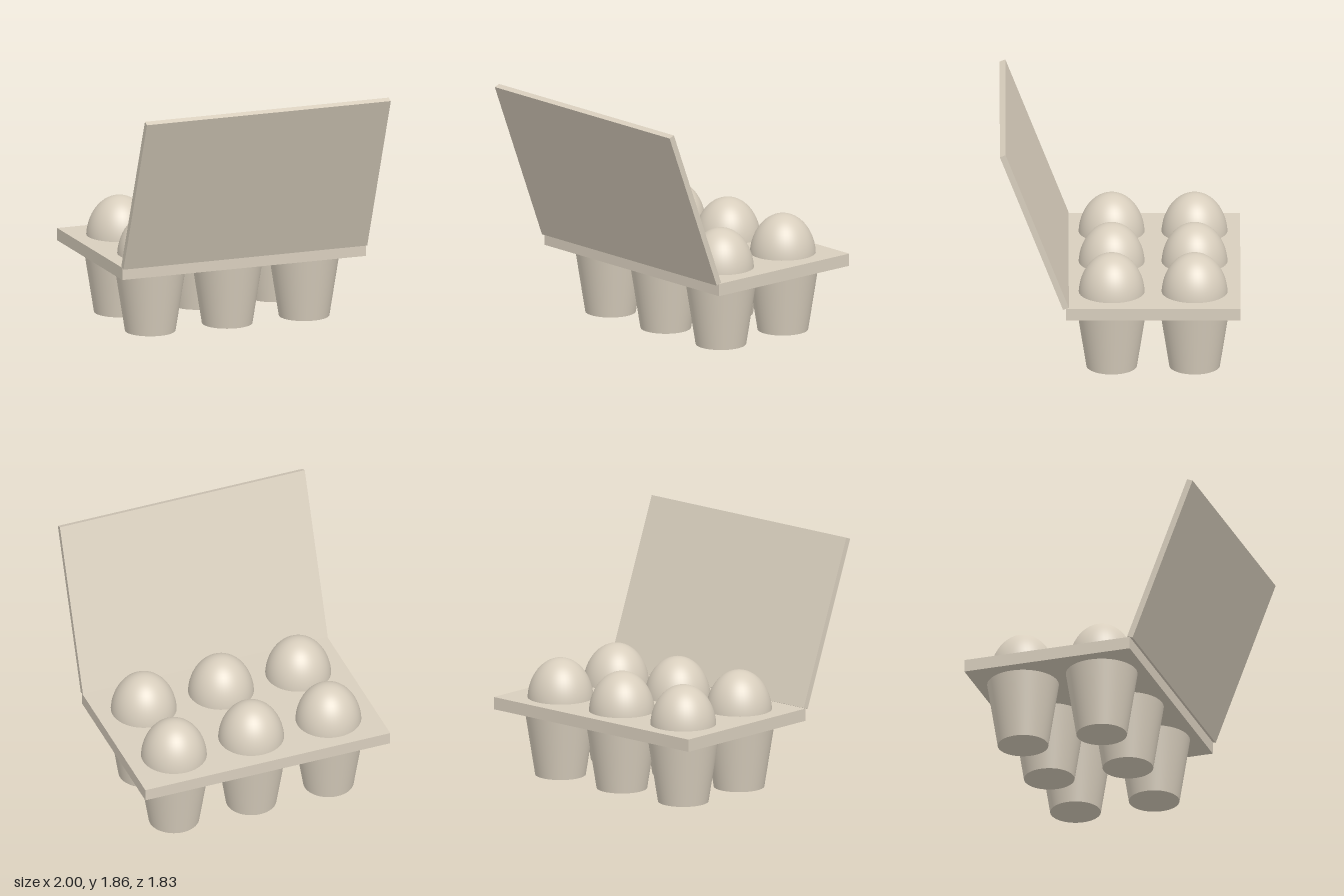
import * as THREE from 'three';

export function createModel() {
  const carton = new THREE.Group();
  carton.name = 'eggCarton';
  const cardboard = new THREE.MeshStandardMaterial({ color: 0xd8cebd });
  cardboard.name = 'cardboard beige';

  const add = (name, geometry, x, y, z) => {
    const mesh = new THREE.Mesh(geometry, cardboard);
    mesh.name = name;
    mesh.position.set(x, y, z);
    carton.add(mesh);
    return mesh;
  };

  // Flat tray
  add('tray', new THREE.BoxGeometry(2, 0.096, 1.326), 0, 0.558, -0.251);

  // Open lid, leaning outward from the hinge edge
  const lid = add('lid', new THREE.BoxGeometry(2, 1.337, 0.047), 0, 1.229, 0.654);
  lid.rotation.x = 0.368;

  // Tapered cups under the tray, each holding an egg
  const cupGeometry = new THREE.CylinderGeometry(0.274, 0.193, 0.515, 48);
  const eggGeometry = new THREE.SphereGeometry(0.252, 48, 32).scale(1, 1.3, 1);
  for (const z of [0.065, -0.566]) {
    for (const x of [-0.631, 0, 0.631]) {
      add('cup', cupGeometry, x, 0.2575, z);
      add('egg', eggGeometry, x, 0.583, z);
    }
  }

  return carton;
}
